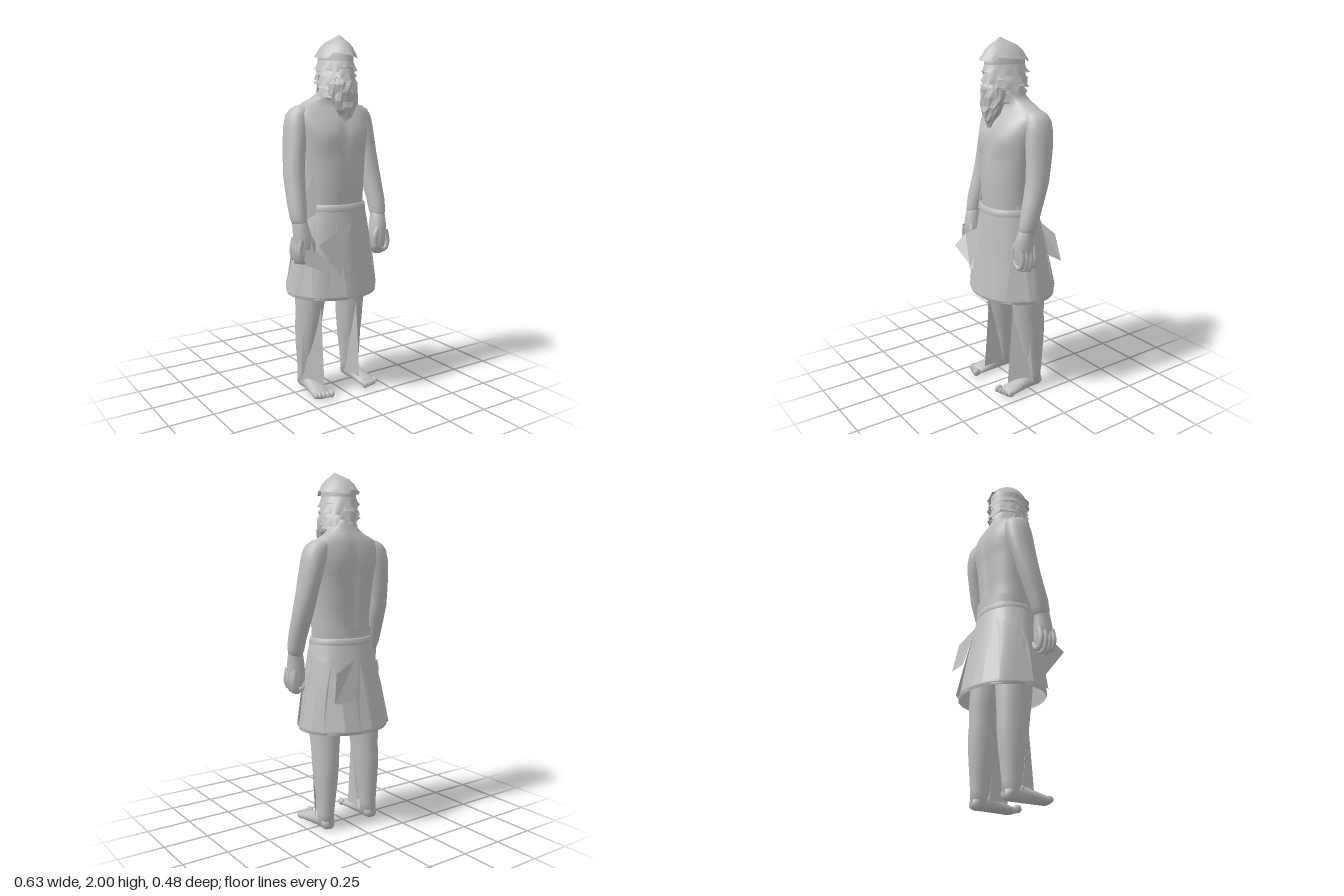
import * as THREE from 'three';
import { mergeGeometries } from 'three/addons/utils/BufferGeometryUtils.js';

const stone = new THREE.MeshStandardMaterial({ color: 0xbfbfbf, side: THREE.DoubleSide });
stone.name = 'stone grey';

function part(name, geo, parent) {
  const m = new THREE.Mesh(geo, stone);
  m.name = name;
  parent.add(m);
  return m;
}

// Skin through elliptical rings [cx, y, cz, rx, rz], listed from low y to high y
const square = (s, p) => Math.sign(s) * Math.abs(s) ** p;
function loft(rings, n = 24, capped = true, warp = null, power = 1) {
  const pos = [], idx = [];
  const v = new THREE.Vector3();
  rings.forEach(([cx, y, cz, rx, rz], r) => {
    for (let i = 0; i < n; i++) {
      const a = (i / n) * Math.PI * 2;
      v.set(cx + square(Math.sin(a), power) * rx, y, cz + square(Math.cos(a), power) * rz);
      if (warp) warp(v, a, r, i);
      pos.push(v.x, v.y, v.z);
      if (r < rings.length - 1) {
        const p = r * n + i, q = r * n + (i + 1) % n;
        idx.push(p, q, q + n, p, q + n, p + n);
      }
    }
  });
  if (capped) {
    const first = rings[0], last = rings[rings.length - 1], base = (rings.length - 1) * n;
    const c = pos.length / 3;
    pos.push(first[0], first[1], first[2], last[0], last[1], last[2]);
    for (let i = 0; i < n; i++) {
      const j = (i + 1) % n;
      idx.push(c, j, i, c + 1, base + i, base + j);
    }
  }
  const g = new THREE.BufferGeometry();
  g.setAttribute('position', new THREE.Float32BufferAttribute(pos, 3));
  g.setIndex(idx);
  g.computeVertexNormals();
  return g;
}

// Thin sheet fanned from a few corners
function sheet(...pts) {
  const g = new THREE.BufferGeometry().setFromPoints(pts.map(p => new THREE.Vector3(...p)));
  const idx = [];
  for (let i = 1; i < pts.length - 1; i++) idx.push(0, i, i + 1);
  g.setIndex(idx);
  const f = g.toNonIndexed();
  f.computeVertexNormals();
  return f;
}

const bump = (x, y, cx, cy, sx, sy) => Math.exp(-(((x - cx) / sx) ** 2) - ((y - cy) / sy) ** 2);
const mod = (i, k) => ((i * 7 + k * 5) % 11) / 11;
// Head outline is narrower toward the face
const egg = v => { v.x *= 1 - Math.max(0, v.z - 0.04) * 2; };

function makeTorso(g) {
  const rings = [
    [0, 1.00, 0.015, 0.165, 0.135], [0, 1.10, 0.02, 0.17, 0.135], [0, 1.18, 0.026, 0.172, 0.132],
    [0, 1.26, 0.024, 0.177, 0.137], [0, 1.34, 0.021, 0.186, 0.139], [0, 1.40, 0.019, 0.194, 0.138],
    [0, 1.45, 0.015, 0.202, 0.136], [0, 1.50, 0.009, 0.212, 0.133], [0, 1.55, -0.001, 0.222, 0.121],
    [0, 1.59, -0.01, 0.224, 0.105], [0, 1.62, -0.018, 0.208, 0.089], [0, 1.642, -0.02, 0.168, 0.079],
    [0, 1.665, -0.015, 0.12, 0.072], [0, 1.70, 0, 0.08, 0.068], [0, 1.78, 0.03, 0.07, 0.07]];
  part('torso', loft(rings, 64, true, v => {
    const ax = Math.abs(v.x);
    if (v.z > 0.03) { // chest muscles and breastbone groove
      v.z += 0.014 * bump(ax, v.y, 0.1, 1.47, 0.07, 0.05) - 0.012 * bump(ax, v.y, 0, 1.45, 0.02, 0.12)
        - 0.012 * bump(ax, v.y, 0.1, 1.37, 0.08, 0.03);
    } else if (v.z < -0.03) { // spine groove and shoulder blades
      v.z += 0.02 * bump(ax, v.y, 0, 1.35, 0.03, 0.22) - 0.01 * bump(ax, v.y, 0.11, 1.5, 0.06, 0.08);
    }
  }, 0.9), g);
}

function makeArm(g) {
  part('arm', loft([
    [0.262, 0.99, 0.09, 0.036, 0.042], [0.263, 1.03, 0.08, 0.045, 0.051], [0.263, 1.09, 0.066, 0.05, 0.055],
    [0.257, 1.18, 0.038, 0.055, 0.06], [0.251, 1.26, 0.014, 0.057, 0.066], [0.239, 1.36, -0.004, 0.057, 0.073],
    [0.227, 1.44, -0.016, 0.06, 0.08], [0.212, 1.52, -0.024, 0.066, 0.081], [0.199, 1.575, -0.026, 0.068, 0.074],
    [0.185, 1.605, -0.025, 0.061, 0.064], [0.165, 1.628, -0.022, 0.046, 0.045]], 28), g);
  part('hand', loft([
    [0.25, 0.8, 0.1, 0.03, 0.042], [0.25, 0.83, 0.1, 0.042, 0.05], [0.251, 0.88, 0.1, 0.05, 0.054],
    [0.253, 0.94, 0.1, 0.049, 0.054], [0.26, 1.0, 0.09, 0.042, 0.046], [0.262, 1.05, 0.076, 0.038, 0.04]], 16), g);
  // Curled fingers and thumb
  for (let i = 0; i < 4; i++) {
    const z = 0.058 + i * 0.027, dip = 0.77 + Math.abs(i - 1.3) * 0.014;
    const path = new THREE.CatmullRomCurve3([
      new THREE.Vector3(0.28, 0.92, z), new THREE.Vector3(0.292, 0.85, z),
      new THREE.Vector3(0.27, dip + 0.014, z), new THREE.Vector3(0.238, dip + 0.024, z),
      new THREE.Vector3(0.22, 0.84, z)]);
    part('finger', new THREE.TubeGeometry(path, 10, 0.016, 7), g);
  }
  const thumb = new THREE.CatmullRomCurve3([
    new THREE.Vector3(0.245, 0.96, 0.125), new THREE.Vector3(0.21, 0.89, 0.136), new THREE.Vector3(0.215, 0.83, 0.134)]);
  part('thumb', new THREE.TubeGeometry(thumb, 8, 0.017, 7), g);
}

function makeLeg(g) {
  part('leg', loft([
    [0.152, 0.03, -0.045, 0.045, 0.045], [0.15, 0.1, -0.043, 0.046, 0.052], [0.148, 0.18, -0.04, 0.053, 0.062],
    [0.145, 0.28, -0.034, 0.064, 0.077], [0.142, 0.38, -0.028, 0.07, 0.09], [0.138, 0.46, -0.02, 0.072, 0.095],
    [0.137, 0.54, -0.016, 0.08, 0.101], [0.122, 0.7, -0.005, 0.092, 0.11], [0.105, 1.0, 0.01, 0.095, 0.12]], 24), g);
  // Loose wrapping hanging before the shin
  part('shinWrap', mergeGeometries([
    sheet([0.12, 0.52, 0.078], [0.122, 0.05, 0.115], [0.104, 0.05, -0.01], [0.085, 0.4, 0.02]),
    sheet([0.12, 0.52, 0.078], [0.122, 0.05, 0.115], [0.2, 0.05, -0.01], [0.2, 0.4, 0.02])]), g);
  // Foot runs heel to toe along z
  const foot = loft([
    [0.152, -0.09, -0.035, 0.028, 0.025], [0.152, -0.07, -0.042, 0.042, 0.04], [0.152, 0, -0.047, 0.043, 0.045],
    [0.156, 0.07, -0.036, 0.048, 0.034], [0.16, 0.13, -0.027, 0.052, 0.025], [0.16, 0.165, -0.023, 0.05, 0.018]], 18);
  foot.rotateX(Math.PI / 2);
  part('foot', foot, g);
  for (let i = 0; i < 5; i++) {
    const toe = new THREE.SphereGeometry(1, 8, 6);
    toe.scale(i ? 0.011 : 0.015, i ? 0.018 : 0.022, 0.026);
    part('toe', toe, g).position.set(0.116 + i * 0.022, i ? 0.026 : 0.03, 0.176 - i * 0.007);
  }
}

function makeSkirt(g) {
  // Pleated cloth
  part('skirt', loft([
    [0, 0.58, 0, 0.264, 0.224], [0, 0.7, 0.003, 0.25, 0.206], [0, 0.85, 0.01, 0.23, 0.186],
    [0, 0.98, 0.018, 0.206, 0.166], [0, 1.07, 0.022, 0.185, 0.152]], 64, false, (v, a, r) => {
    const k = 1 + 0.02 * (1 - r / 4) * Math.cos(a * 8);
    v.x *= k; v.z *= k;
  }), g);
  part('hem', loft([[0, 0.575, 0, 0.264, 0.224], [0, 0.592, 0, 0.269, 0.229]], 48, false), g);
  // Pointed, uneven panels around the cloth
  for (let i = 0; i < 9; i++) {
    const a = (i + 0.45) / 9 * Math.PI * 2, lean = 0.16 * (mod(i, 3) - 0.5);
    const at = (da, y, rx, rz) => [Math.sin(a + da) * rx, y, Math.cos(a + da) * rz + (y - 0.58) * 0.04];
    part('skirtPanel', sheet(
      at(lean, 0.97 + 0.07 * mod(i, 1), 0.206, 0.168), at(-0.18, 0.8, 0.246, 0.201), at(-0.2 + lean, 0.6, 0.272, 0.232),
      at(0.2 - lean, 0.6, 0.28, 0.243), at(0.2, 0.82, 0.243, 0.198)), g);
  }
  // Loose flaps
  part('frontFlap', sheet([0, 1.0, 0.198], [-0.2, 0.89, 0.185], [-0.085, 0.71, 0.232]), g);
  part('handFlap', sheet([-0.24, 0.92, 0.115], [-0.295, 0.8, 0.205], [-0.085, 0.71, 0.208]), g);
  part('sideFlap', sheet([-0.14, 1.32, 0.08], [-0.28, 0.98, 0.06], [-0.17, 1.05, 0.11]), g);
  part('backFlap', sheet([0.03, 0.98, -0.155], [0.17, 0.92, -0.18], [0.2, 0.76, -0.205], [0.07, 0.76, -0.21]), g);
  // Belt in two bands, the upper one open at the front
  part('lowerBelt', loft([[0, 1.055, 0.022, 0.18, 0.15], [0, 1.06, 0.022, 0.188, 0.158],
    [0, 1.09, 0.022, 0.185, 0.155], [0, 1.095, 0.022, 0.174, 0.142]], 40, false), g);
  part('upperBelt', loft([[0, 1.1, 0.015, 0.178, 0.145], [0, 1.15, 0.012, 0.18, 0.142]], 40, false,
    v => { if (v.z > 0) v.y -= v.z * 0.4; }), g);
}

function makeHead(g) {
  part('head', loft([
    [0, 1.66, 0.06, 0.06, 0.08], [0, 1.72, 0.055, 0.085, 0.11], [0, 1.82, 0.05, 0.094, 0.118],
    [0, 1.9, 0.05, 0.094, 0.118], [0, 1.94, 0.05, 0.07, 0.09]], 28, true, egg), g);
  // Ragged tiers of hair
  [1.85, 1.81, 1.775, 1.745, 1.715].forEach((y, k) => {
    const s = k > 2 ? 0.92 : 1;
    const tier = loft([[0, y - 0.035, 0.05, 0.114 * s, 0.134 * s], [0, y - 0.012, 0.05, 0.104 * s, 0.125 * s],
      [0, y + 0.018, 0.05, 0.092 * s, 0.115 * s]], 36, false, (v, a, r, i) => {
      egg(v);
      if (r === 0) { // uneven pointed locks
        const j = 0.92 + 0.18 * mod(i, k);
        v.x *= j; v.z = 0.05 + (v.z - 0.05) * j;
        v.y += 0.03 * mod(i * 3, k + 2) - 0.014;
      }
    });
    part('hairTier', tier, g);
  });
  // Domed cap of hair with a ragged brim and peak
  part('cap', loft([[0, 1.885, 0.055, 0.115, 0.142], [0, 1.905, 0.055, 0.104, 0.128], [0, 1.935, 0.055, 0.087, 0.108],
    [0, 1.96, 0.057, 0.062, 0.08], [0, 1.975, 0.062, 0.036, 0.048], [0, 2.0, 0.078, 0.002, 0.002]],
    32, false, (v, a, r, i) => {
      egg(v);
      if (r === 0) {
        const j = 0.95 + 0.12 * mod(i, 2);
        v.x *= j; v.z = 0.055 + (v.z - 0.055) * j;
        v.y += 0.03 * mod(i * 3, 3) - 0.012;
      }
    }), g);
  // Beard tapering to a point, roughened
  part('beard', loft([[0, 1.54, 0.15, 0.004, 0.004], [0, 1.575, 0.145, 0.03, 0.027], [0, 1.61, 0.137, 0.056, 0.041],
    [0, 1.65, 0.127, 0.076, 0.053], [0, 1.69, 0.117, 0.086, 0.064], [0, 1.74, 0.11, 0.084, 0.07],
    [0, 1.78, 0.1, 0.068, 0.066]], 24, true, (v, a, r, i) => {
    v.y += 0.02 * (mod(i * 3, r) - 0.5);
    v.x *= 0.95 + 0.1 * mod(i, r + 4);
    v.z += 0.016 * (mod(i * 5, r * 3) - 0.5);
  }).toNonIndexed(), g).geometry.computeVertexNormals();
}

export function createModel() {
  const model = new THREE.Group();
  model.name = 'figure';
  makeTorso(model);
  // Arms and legs, mirrored
  for (const side of [1, -1]) {
    const limbs = new THREE.Group();
    limbs.name = side > 0 ? 'leftLimbs' : 'rightLimbs';
    makeArm(limbs);
    makeLeg(limbs);
    limbs.scale.x = side;
    model.add(limbs);
  }
  makeSkirt(model);
  makeHead(model);
  return model;
}
